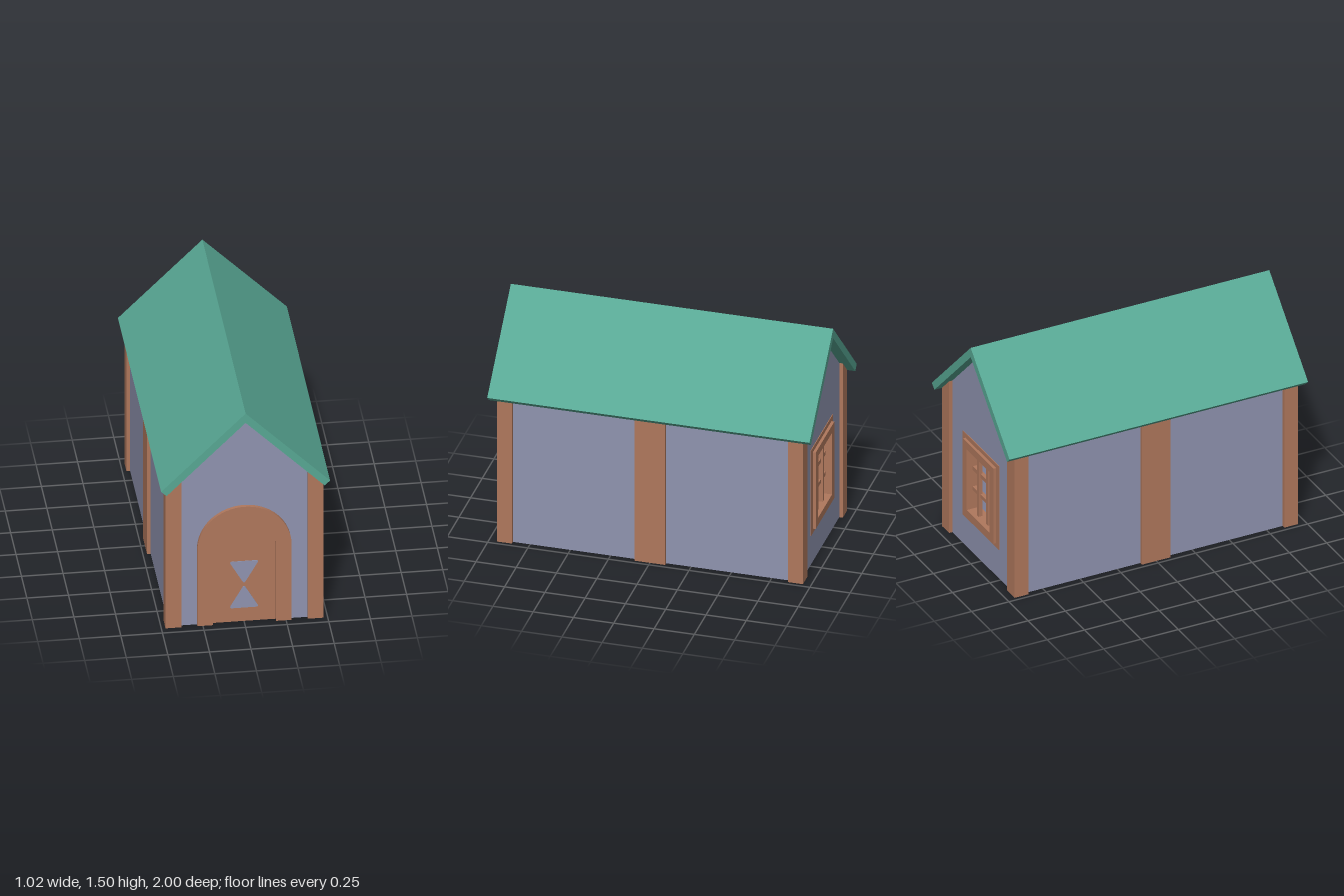
import * as THREE from 'three';

const wallMat = new THREE.MeshStandardMaterial({ name: 'wall blue grey', color: 0x9094b0 });
const woodMat = new THREE.MeshStandardMaterial({ name: 'wood brown', color: 0xb0785d });
const roofMat = new THREE.MeshStandardMaterial({ name: 'roof green', color: 0x58a894 });

// Underside height of the 45 degree roof
const under = (x) => 1.43 - Math.abs(x);

function polygon(points) {
  return new THREE.Shape(points.map(([x, y]) => new THREE.Vector2(x, y)));
}

function rect(x0, y0, x1, y1) {
  return polygon([[x0, y0], [x1, y0], [x1, y1], [x0, y1]]);
}

// Upright strip whose top is cut to the roof slope
function strip(x0, x1) {
  return polygon([[x0, 0], [x1, 0], [x1, under(x1)], [x0, under(x0)]]);
}

// Round-topped outline, open at the ground
const SPRING = 0.53;
function arch(r) {
  const s = new THREE.Shape();
  s.moveTo(-r, 0);
  s.lineTo(r, 0);
  s.lineTo(r, SPRING);
  s.absarc(0, SPRING, r, 0, Math.PI, false);
  s.lineTo(-r, 0);
  return s;
}

// Triangle with softened corners
function softTriangle(corners, t) {
  const p = corners.map(([x, y]) => new THREE.Vector2(x, y));
  const s = new THREE.Shape();
  p.forEach((c, i) => {
    const prev = p[(i + 2) % 3], next = p[(i + 1) % 3];
    const a = c.clone().lerp(prev, t), b = c.clone().lerp(next, t);
    if (i === 0) s.moveTo(a.x, a.y); else s.lineTo(a.x, a.y);
    s.quadraticCurveTo(c.x, c.y, b.x, b.y);
  });
  s.closePath();
  return s;
}

export function createModel() {
  const house = new THREE.Group();
  house.name = 'house';

  function slab(name, shape, z0, z1, mat, parent = house) {
    const geo = new THREE.ExtrudeGeometry(shape, { depth: z1 - z0, bevelEnabled: false, curveSegments: 16 });
    geo.translate(0, 0, z0);
    const mesh = new THREE.Mesh(geo, mat);
    mesh.name = name;
    parent.add(mesh);
    return mesh;
  }

  // Roof: one folded slab
  slab('roof', polygon([
    [0.475, 0.955], [0.508, 0.987], [0, 1.495], [-0.508, 0.987], [-0.475, 0.955], [0, 1.43],
  ]), -1, 1, roofMat);

  // Side walls and timber posts, mirrored
  for (const s of [-1, 1]) {
    const side = s > 0 ? 'left' : 'right';
    slab(side + 'Wall', strip(s * 0.408, s * 0.453), -0.88, 0.88, wallMat);
    const post = () => strip(s * 0.38, s * 0.475);
    slab(side + 'FrontPost', post(), 0.857, 0.95, woodMat);
    slab(side + 'MiddlePost', post(), -0.095, 0.095, woodMat);
    slab(side + 'BackPost', post(), -0.95, -0.857, woodMat);
  }

  // Front gable, notched for the doorway
  const W = 0.453;
  const front = new THREE.Shape();
  front.moveTo(-W, 0);
  front.lineTo(-0.235, 0);
  front.lineTo(-0.235, SPRING);
  front.absarc(0, SPRING, 0.235, Math.PI, 0, true);
  front.lineTo(0.235, 0);
  front.lineTo(W, 0);
  front.lineTo(W, under(W));
  front.lineTo(0, under(0));
  front.lineTo(-W, under(W));
  slab('frontWall', front, 0.882, 0.928, wallMat);

  // Back gable with the window hole
  const back = polygon([[-W, 0], [W, 0], [W, under(W)], [0, under(0)], [-W, under(W)]]);
  back.holes.push(rect(-0.18, 0.25, 0.18, 0.73));
  slab('backWall', back, -0.928, -0.882, wallMat);

  // Door surround
  const ring = new THREE.Shape();
  ring.moveTo(0.19, 0);
  ring.lineTo(0.283, 0);
  ring.lineTo(0.283, SPRING);
  ring.absarc(0, SPRING, 0.283, 0, Math.PI, false);
  ring.lineTo(-0.283, 0);
  ring.lineTo(-0.19, 0);
  ring.lineTo(-0.19, SPRING);
  ring.absarc(0, SPRING, 0.19, Math.PI, 0, true);
  slab('doorFrame', ring, 0.86, 0.95, woodMat);

  // Door leaf with a two-triangle inlay on both faces
  slab('door', arch(0.192), 0.885, 0.925, woodMat);
  const upper = softTriangle([[-0.09, 0.42], [0, 0.262], [0.09, 0.42]], 0.11);
  const lower = softTriangle([[-0.09, 0.095], [0.09, 0.095], [0, 0.253]], 0.11);
  for (const [label, z] of [['Outer', 0.924], ['Inner', 0.882]]) {
    slab('door' + label + 'UpperInlay', upper, z, z + 0.004, wallMat);
    slab('door' + label + 'LowerInlay', lower, z, z + 0.004, wallMat);
  }

  // Window: flat trim, raised frame and bars
  const win = new THREE.Group();
  win.name = 'backWindow';
  house.add(win);
  const CY = 0.49;
  function frame(w, h, iw, ih) {
    const s = rect(-w, CY - h, w, CY + h);
    s.holes.push(rect(-iw, CY - ih, iw, CY + ih));
    return s;
  }
  slab('windowTrim', frame(0.237, 0.29, 0.17, 0.23), -0.932, -0.878, woodMat, win);
  slab('windowFrame', frame(0.2, 0.26, 0.15, 0.21), -0.95, -0.86, woodMat, win);
  for (const s of [-1, 1]) {
    const x = s * 0.06, y = CY + s * 0.07;
    slab('verticalBar', rect(x - 0.013, CY - 0.215, x + 0.013, CY + 0.215), -0.922, -0.896, woodMat, win);
    slab('horizontalBar', rect(-0.155, y - 0.013, 0.155, y + 0.013), -0.91, -0.884, woodMat, win);
  }

  return house;
}
